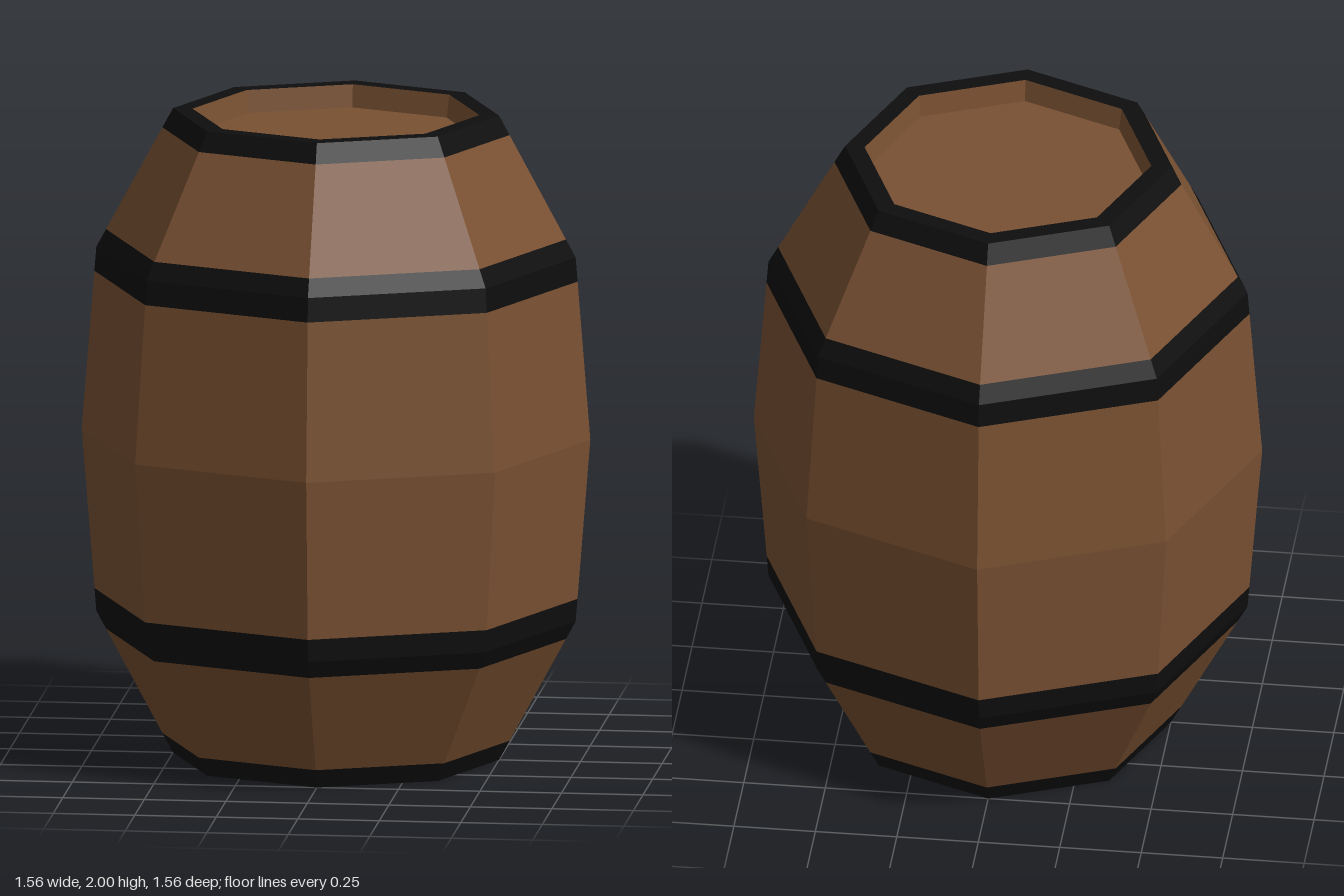
import * as THREE from 'three';

const wood = new THREE.MeshStandardMaterial({ name: 'brown wood', color: 0x7a5132, flatShading: true });
const iron = new THREE.MeshStandardMaterial({ name: 'black iron', color: 0x0e0e0e, flatShading: true });

// Outer corners of the barrel: [radius, height]
const corners = [[0.5, 0], [0.735, 0.435], [0.78, 1], [0.735, 1.565], [0.5, 2]];
const RIM = 0.44, LID = 0.43, RECESS = 0.07;

// Radius of the outer wall at a height
function radiusAt(y) {
  const i = Math.min(3, corners.findIndex((c, k) => k < 4 && y <= corners[k + 1][1]));
  const [r0, y0] = corners[i], [r1, y1] = corners[i + 1];
  return r0 + (r1 - r0) * (y - y0) / (y1 - y0);
}

// Wall profile between two heights, following the corners in between
function wall(from, to) {
  const inner = corners.filter(([, y]) => y > from && y < to);
  return [[radiusAt(from), from], ...inner, [radiusAt(to), to]];
}

function createModel() {
  const barrel = new THREE.Group();
  barrel.name = 'barrel';

  // Eight-sided ring or disc swept from a profile
  const add = (name, material, profile) => {
    const points = profile.map(([r, y]) => new THREE.Vector2(r, y));
    const mesh = new THREE.Mesh(new THREE.LatheGeometry(points, 8), material);
    mesh.name = name;
    barrel.add(mesh);
  };

  // Wooden wall sections between the hoops
  add('lowerStaves', wood, wall(0.06, 0.38));
  add('middleStaves', wood, wall(0.505, 1.49));
  add('upperStaves', wood, wall(1.62, 1.94));

  // Hoops flush with the staves
  add('lowerHoop', iron, wall(0.38, 0.505));
  add('upperHoop', iron, wall(1.49, 1.62));

  // End rims wrap over the edges
  add('bottomRim', iron, [[RIM, 0], ...wall(0, 0.06)]);
  add('topRim', iron, [...wall(1.94, 2), [RIM, 2]]);

  // Recessed ends with their short inner walls
  add('bottomEnd', wood, [[0, RECESS], [LID, RECESS], [RIM, 0]]);
  add('topLid', wood, [[RIM, 2], [LID, 2 - RECESS], [0, 2 - RECESS]]);

  return barrel;
}

export { createModel };
